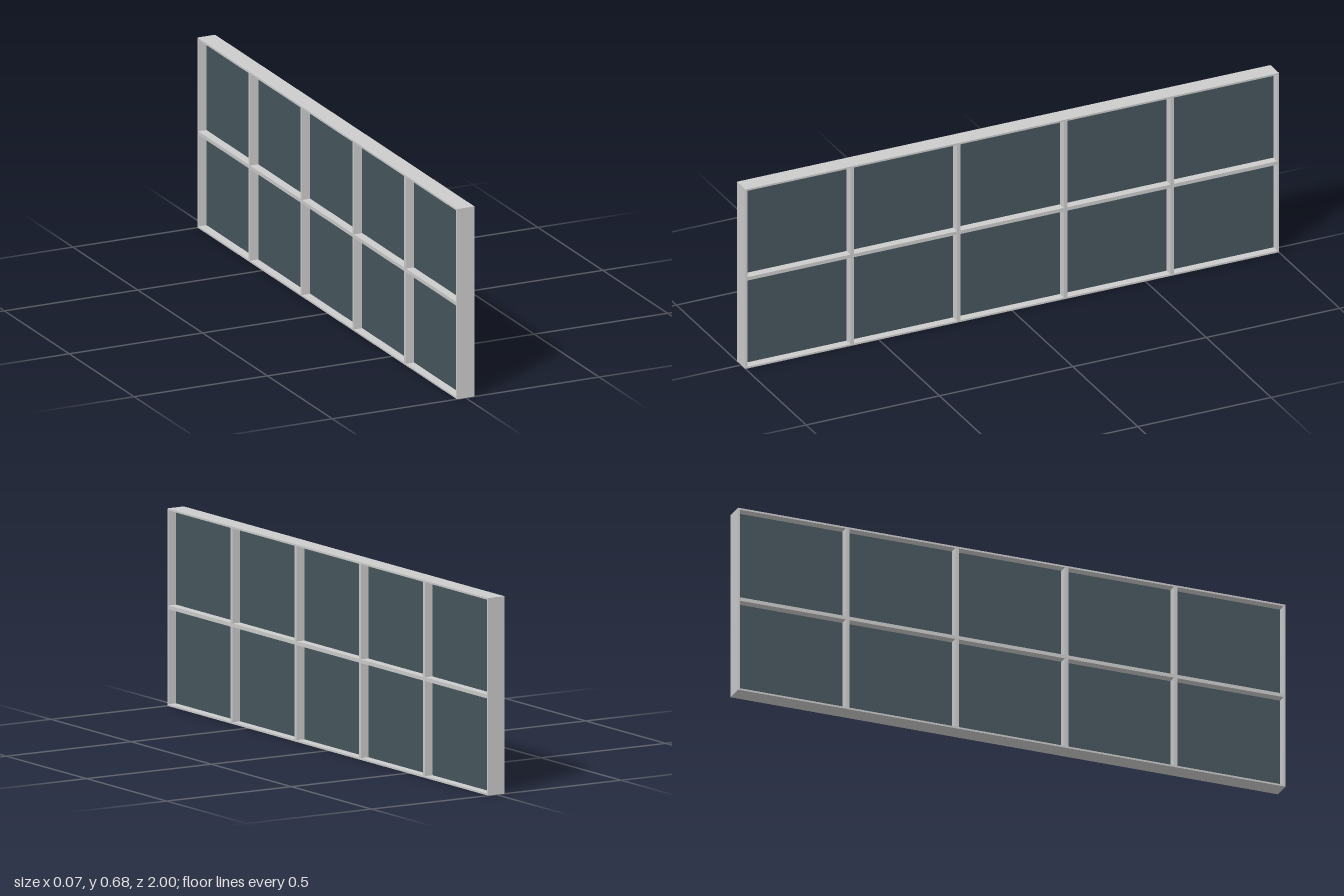
import * as THREE from 'three';

const LENGTH = 2, HEIGHT = 0.677, DEPTH = 0.066;
const COLS = 5, ROWS = 2, BAR = 0.013, EDGE = BAR / 2;

export function createModel() {
  const group = new THREE.Group();
  group.name = 'windowPanel';
  const frameMaterial = new THREE.MeshStandardMaterial({ color: 0xcccccc });
  const glassMaterial = new THREE.MeshStandardMaterial({ color: 0x46565d });

  // Closed rectangle helper, u along the panel and v upward
  const rectangle = (path, u0, v0, u1, v1) => {
    path.moveTo(u0, v0);
    path.lineTo(u1, v0);
    path.lineTo(u1, v1);
    path.lineTo(u0, v1);
    path.closePath();
    return path;
  };

  // Frame with its glazing bars: one slab with an opening for each pane
  const outline = rectangle(new THREE.Shape(), -LENGTH / 2, 0, LENGTH / 2, HEIGHT);
  const cellW = LENGTH / COLS, cellH = HEIGHT / ROWS;
  const paneGeometry = new THREE.BoxGeometry(0.005, cellH - BAR, cellW - BAR);
  for (let c = 0; c < COLS; c++) {
    for (let r = 0; r < ROWS; r++) {
      const u = -LENGTH / 2 + c * cellW, v = r * cellH;
      outline.holes.push(rectangle(new THREE.Path(), u + EDGE, v + EDGE, u + cellW - EDGE, v + cellH - EDGE));

      // Dark pane set midway through the frame
      const pane = new THREE.Mesh(paneGeometry, glassMaterial);
      pane.name = 'glassPane';
      pane.position.set(0, v + cellH / 2, u + cellW / 2);
      group.add(pane);
    }
  }
  const frameGeometry = new THREE.ExtrudeGeometry(outline, { depth: DEPTH, bevelEnabled: false });
  frameGeometry.translate(0, 0, -DEPTH / 2);
  frameGeometry.rotateY(Math.PI / 2);
  const frame = new THREE.Mesh(frameGeometry, frameMaterial);
  frame.name = 'frame';
  group.add(frame);

  return group;
}
